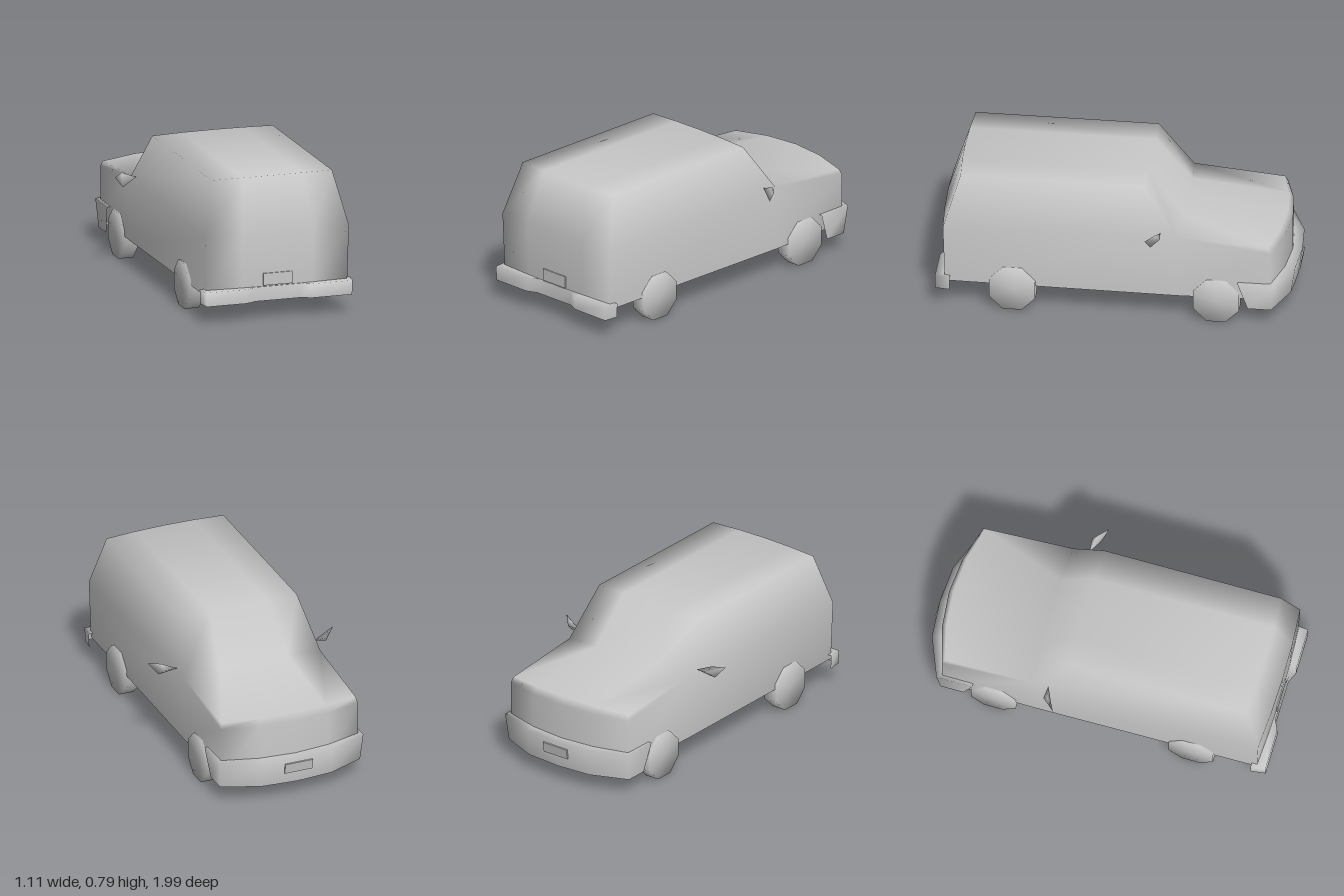
import * as THREE from 'three';

const paint = new THREE.MeshStandardMaterial({ color: 0xc8c8c8, side: THREE.DoubleSide });
paint.name = 'plain grey';

// Smooth surface from shared points and polygon fans
function surface(points, polys) {
  const index = [];
  for (const p of polys) for (let i = 1; i < p.length - 1; i++) index.push(p[0], p[i], p[i + 1]);
  const g = new THREE.BufferGeometry();
  g.setAttribute('position', new THREE.Float32BufferAttribute(points.flat(), 3));
  g.setIndex(index);
  g.computeVertexNormals();
  return g;
}

// Quads between equal rows of points
function gridPolys(rows, cols) {
  const polys = [];
  for (let r = 0; r < rows - 1; r++)
    for (let c = 0; c < cols - 1; c++) {
      const a = r * cols + c;
      polys.push([a, a + 1, a + cols + 1, a + cols]);
    }
  return polys;
}

function add(group, name, geometry) {
  const mesh = new THREE.Mesh(geometry, paint);
  mesh.name = name;
  group.add(mesh);
  return mesh;
}

// Shell: one strip over tail, roof, windscreen, bonnet and nose, plus two sides
function bodyGeometry() {
  // edge x, centre y, edge y, centre z, edge z
  const rows = [
    [0.41, 0.15, 0.15, 0.955, 0.94],
    [0.418, 0.5, 0.49, 0.97, 0.95],
    [0.35, 0.79, 0.787, 0.875, 0.86],
    [0.35, 0.788, 0.785, -0.165, -0.155],
    [0.41, 0.54, 0.512, -0.37, -0.345],
    [0.402, 0.487, 0.47, -0.915, -0.85],
    [0.41, 0.45, 0.44, -0.942, -0.865],
    [0.412, 0.15, 0.15, -0.942, -0.865],
  ];
  const points = [];
  for (const [x, yc, ye, zc, ze] of rows)
    for (const t of [-1, -0.5, 0, 0.5, 1])
      points.push([x * t, yc + (ye - yc) * t * t, zc + (ze - zc) * t * t]);
  const polys = gridPolys(rows.length, 5);
  for (const side of [1, -1]) {
    const e = (r) => r * 5 + (side > 0 ? 4 : 0);
    const sill = points.length;
    points.push([side * 0.418, 0.145, -0.345]);
    const faces = [
      [e(0), sill, e(4), e(1)],
      [e(1), e(4), e(3), e(2)],
      [sill, e(7), e(6), e(4)],
      [e(4), e(6), e(5)],
    ];
    for (const f of faces) polys.push(side > 0 ? f : f.reverse());
  }
  return surface(points, polys);
}

// Bumper: half outlines [x, z] at given heights, mirrored to full width
function bumperGeometry(outlines, flip) {
  const points = [];
  for (const { y, path } of outlines) {
    const full = [
      ...path.map(([x, z]) => [-x, y, z]),
      ...path.slice(0, -1).reverse().map(([x, z]) => [x, y, z]),
    ];
    points.push(...full);
  }
  const polys = gridPolys(outlines.length, outlines[0].path.length * 2 - 1);
  if (flip) polys.forEach((p) => p.reverse());
  return surface(points, polys);
}

// Eight-sided wheel, open on the inner side
function wheelGeometry(side) {
  const r = 0.1275 / Math.cos(Math.PI / 8);
  const profile = [[r, -0.0425], [r, 0.0425], [0, 0.0425]].map(([x, y]) => new THREE.Vector2(x, y));
  const g = new THREE.LatheGeometry(profile, 8, Math.PI / 8);
  return g.rotateZ(-side * Math.PI / 2);
}

// Diamond-shaped mirror with a raised front point
function mirrorGeometry(side) {
  const points = [
    [0.41, 0.53, -0.255],
    [0.5, 0.567, -0.235],
    [0.557, 0.557, -0.185],
    [0.502, 0.49, -0.21],
    [0.485, 0.535, -0.262],
  ].map(([x, y, z]) => [side * x, y, z]);
  const polys = [[0, 1, 4], [1, 2, 4], [2, 3, 4], [3, 0, 4], [0, 3, 2, 1]];
  if (side < 0) polys.forEach((p) => p.reverse());
  return surface(points, polys);
}

export function createModel() {
  const car = new THREE.Group();
  car.name = 'car';

  add(car, 'bodyShell', bodyGeometry());

  // Bumpers
  add(car, 'noseBumper', bumperGeometry([
    { y: 0.09, path: [[0.42, -0.74], [0.42, -0.87], [0.21, -0.955], [0, -0.972]] },
    { y: 0.25, path: [[0.432, -0.685], [0.432, -0.89], [0.21, -0.98], [0, -0.995]] },
    { y: 0.25, path: [[0.408, -0.685], [0.4, -0.855], [0.2, -0.92], [0, -0.94]] },
  ], true));
  add(car, 'tailBumper', bumperGeometry([
    { y: 0.105, path: [[0.432, 0.91], [0.422, 0.993], [0.19, 0.993], [0.13, 0.966], [0, 0.966]] },
    { y: 0.185, path: [[0.436, 0.91], [0.425, 0.993], [0.19, 0.993], [0.13, 0.966], [0, 0.966]] },
    { y: 0.185, path: [[0.41, 0.91], [0.405, 0.94], [0.19, 0.95], [0.13, 0.952], [0, 0.955]] },
  ], false));

  // Blank plates
  add(car, 'tailPlate', new THREE.BoxGeometry(0.17, 0.068, 0.008)).position.set(0, 0.226, 0.962);
  const nosePlate = add(car, 'nosePlate', new THREE.BoxGeometry(0.165, 0.06, 0.008));
  nosePlate.position.set(0, 0.19, -0.99);
  nosePlate.rotation.x = -0.15;

  // Wheels and mirrors
  for (const side of [1, -1]) {
    const label = side > 0 ? 'left' : 'right';
    for (const z of [0.565, -0.565])
      add(car, `${label}${z > 0 ? 'Tail' : 'Nose'}Wheel`, wheelGeometry(side))
        .position.set(side * 0.383, 0.1275, z);
    add(car, `${label}Mirror`, mirrorGeometry(side));
  }
  return car;
}
